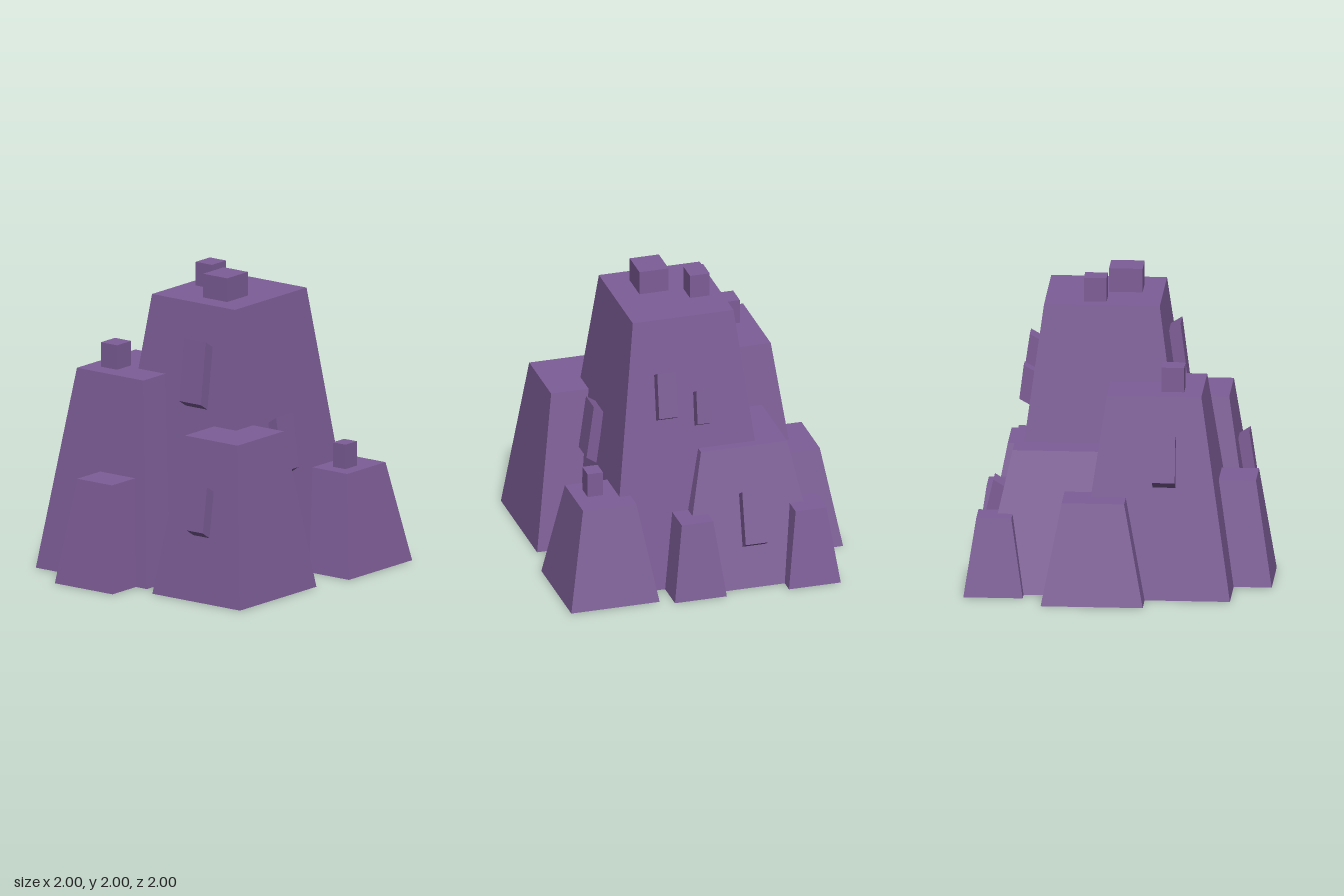
import * as THREE from 'three';

const purple = new THREE.MeshStandardMaterial({ color: 0x7d5d97 });

function add(group, name, geometry) {
  geometry.computeVertexNormals();
  const mesh = new THREE.Mesh(geometry, purple);
  mesh.name = name;
  group.add(mesh);
}

// Reshape a unit box: rule(sx, sy, sz) maps the corner signs to a position.
function shapedBox(rule) {
  const geometry = new THREE.BoxGeometry(1, 1, 1);
  const p = geometry.attributes.position;
  for (let i = 0; i < p.count; i++) {
    p.setXYZ(i, ...rule(p.getX(i) > 0, p.getY(i) > 0, p.getZ(i) > 0));
  }
  return geometry;
}

// Tapered block; rectangles are [x0, x1, z0, z1].
function tower(base, top, height) {
  return shapedBox((x, y, z) => {
    const r = y ? top : base;
    return [r[x ? 1 : 0], y ? height : 0, r[z ? 3 : 2]];
  });
}

// Leaning window slab: outer face runs from (dTop, yTop) to (dBottom, yBottom),
// and the slab slopes inward and down to the wall.
function windowSlab(x0, x1, [dTop, yTop], [dBottom, yBottom], depth, drop, turn) {
  return shapedBox((x, y, z) => [
    x ? x1 : x0,
    (y ? yTop : yBottom) - (z ? 0 : drop),
    (y ? dTop : dBottom) - (z ? 0 : depth),
  ]).rotateY(turn);
}

export function createModel() {
  const model = new THREE.Group();
  model.name = 'clusteredTowerHouse';

  // Towers
  const towers = [
    ['mainTower', [-0.46, 0.67, -0.76, 0.50], [-0.24, 0.45, -0.51, 0.25], 1.84],
    ['frontTallTower', [-0.815, 0.11, -0.27, 0.75], [-0.63, -0.075, -0.07, 0.55], 1.34],
    ['frontCornerTower', [0.215, 0.945, 0.015, 0.825], [0.36, 0.80, 0.175, 0.665], 1.06],
    ['backTower', [-0.74, 0.235, -0.905, 0.145], [-0.55, 0.04, -0.695, -0.065], 0.93],
    ['frontPorch', [-0.46, 0.02, 0.45, 1], [-0.36, -0.07, 0.56, 0.89], 0.70],
    ['sideTower', [-1, -0.4, -0.48, 0.19], [-0.88, -0.52, -0.35, 0.06], 0.67],
    ['backCornerTower', [0.395, 1, -0.93, -0.26], [0.515, 0.88, -0.80, -0.395], 0.67],
    ['backCornerButtress', [-0.825, -0.47, -1, -0.61], [-0.75, -0.54, -0.92, -0.69], 0.52],
    ['backButtress', [-0.05, 0.305, -0.98, -0.60], [0.02, 0.235, -0.905, -0.675], 0.52],
  ];
  for (const [name, base, top, height] of towers) add(model, name, tower(base, top, height));

  // Chimneys: x0, x1, z0, z1, y0, y1
  const chimneys = [
    ['mainSmallChimney', -0.155, -0.02, -0.255, -0.105, 1.84, 2],
    ['mainLargeChimney', 0.08, 0.28, -0.105, 0.115, 1.84, 2],
    ['frontTallChimney', -0.525, -0.39, 0.28, 0.43, 1.34, 1.505],
    ['backCornerChimney', 0.685, 0.79, -0.61, -0.49, 0.67, 0.835],
  ];
  for (const [name, x0, x1, z0, z1, y0, y1] of chimneys) {
    const box = new THREE.BoxGeometry(x1 - x0, y1 - y0, z1 - z0);
    add(model, name, box.translate((x0 + x1) / 2, (y0 + y1) / 2, (z0 + z1) / 2));
  }

  // Windows, each turned to face out of its wall
  const q = Math.PI / 2;
  const windows = [
    ['mainFrontWindow', 0.115, 0.295, [0.362, 1.62], [0.415, 1.205], 0.077, 0.048, 0],
    ['cornerFrontWindow', 0.505, 0.64, [0.787, 0.78], [0.832, 0.475], 0.073, 0.047, 0],
    ['mainSideWindow', -0.015, 0.16, [0.61, 1.09], [0.66, 0.73], 0.068, 0.046, q],
    ['frontTallSideWindow', 0.235, 0.385, [0.735, 1.10], [0.778, 0.79], 0.067, 0.05, -q],
    ['mainBackLargeWindow', -0.32, -0.19, [0.633, 1.51], [0.678, 1.20], 0.07, 0.04, 2 * q],
    ['mainBackSmallWindow', -0.06, 0.03, [0.658, 1.36], [0.687, 1.13], 0.072, 0.04, 2 * q],
    ['backTowerWindow', 0.20, 0.355, [0.835, 0.67], [0.915, 0.32], 0.073, 0.045, 2 * q],
  ];
  for (const [name, ...spec] of windows) add(model, name, windowSlab(...spec));

  return model;
}
